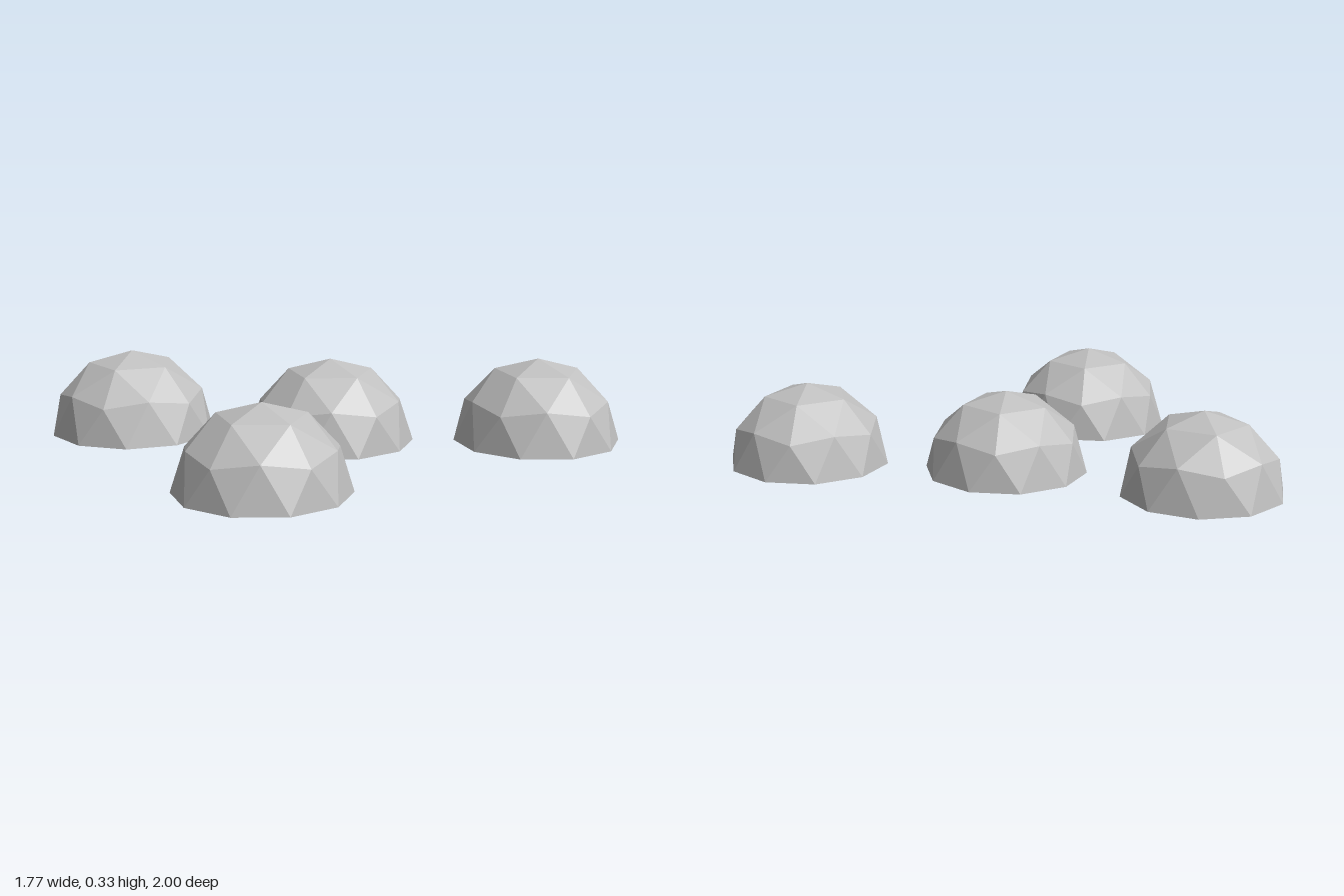
import * as THREE from 'three';

const RADIUS = 0.334;

// Upper half of a two-frequency geodesic sphere, pole up, open underneath
function domeGeometry() {
  const sphere = new THREE.IcosahedronGeometry(RADIUS, 1);
  const phi = (1 + Math.sqrt(5)) / 2;
  sphere.rotateX(-Math.atan2(phi, 1)); // bring one corner to the pole
  sphere.rotateY(Math.PI / 2);         // point one of the five ribs to +x
  const p = sphere.attributes.position.array;
  const kept = [];
  for (let i = 0; i < p.length; i += 9) {
    if (p[i + 1] + p[i + 4] + p[i + 7] > 0.001) kept.push(...p.slice(i, i + 9));
  }
  const dome = new THREE.BufferGeometry();
  dome.setAttribute('position', new THREE.Float32BufferAttribute(kept, 3));
  dome.computeVertexNormals();
  return dome;
}

export function createModel() {
  const group = new THREE.Group();
  group.name = 'domeCluster';
  const grey = new THREE.MeshStandardMaterial({
    color: 0xc0c0c0, flatShading: true, side: THREE.DoubleSide,
  });
  grey.name = 'lightGrey';
  const geometry = domeGeometry();

  // Name, x, z, turn about the vertical
  const domes = [
    ['backDome', 0.567, -0.666, 0],
    ['middleDome', 0.07, 0.002, 0],
    ['frontLeftDome', 0.54, 0.666, 0],
    ['frontRightDome', -0.554, 0.549, Math.PI / 2],
  ];
  for (const [name, x, z, turn] of domes) {
    const dome = new THREE.Mesh(geometry, grey);
    dome.name = name;
    dome.position.set(x, 0, z);
    dome.rotation.y = turn;
    group.add(dome);
  }
  return group;
}
